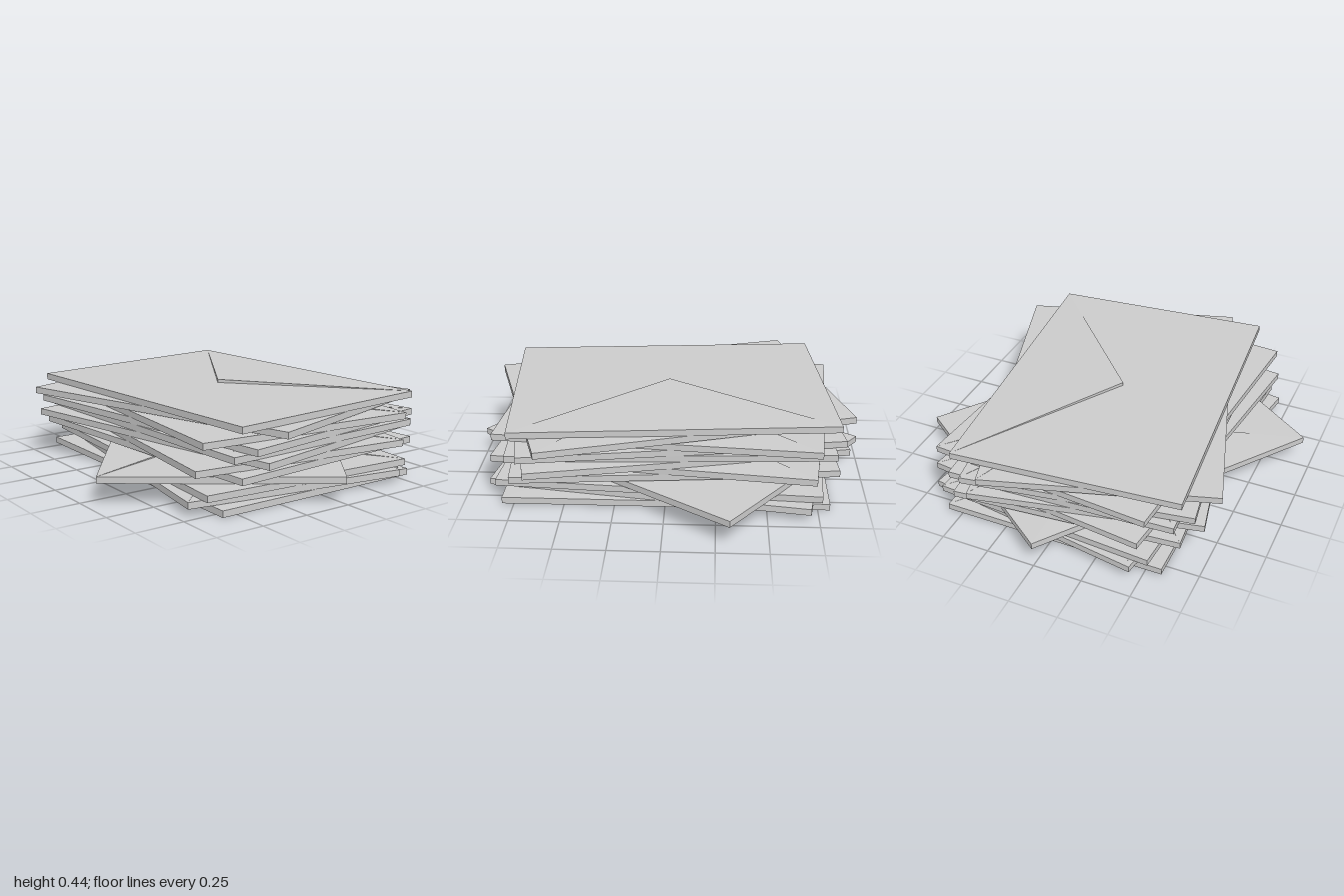
import * as THREE from 'three';

const W = 1.16, D = 1.62, H = 0.033;   // envelope width, length, thickness
const TIP_X = -0.03, LIFT = 0.017;     // flap tip position and how far it stands proud

// Triangular flap: flush with the body along the hinge edge, lifting towards its tip
function flapGeometry() {
  const shape = new THREE.Shape([
    new THREE.Vector2(W / 2, -D / 2),
    new THREE.Vector2(W / 2, D / 2),
    new THREE.Vector2(TIP_X, 0),
  ]);
  const geo = new THREE.ExtrudeGeometry(shape, { depth: 1, bevelEnabled: false });
  geo.rotateX(-Math.PI / 2);
  const pos = geo.attributes.position;
  for (let i = 0; i < pos.count; i++) {
    const t = (W / 2 - pos.getX(i)) / (W / 2 - TIP_X);
    pos.setY(i, (pos.getY(i) > 0.5 ? LIFT : -0.004) * t);
  }
  geo.computeVertexNormals();
  return geo;
}

export function createModel() {
  const model = new THREE.Group();
  model.name = 'envelopeStack';
  const paper = new THREE.MeshStandardMaterial({ color: 0xcccccc, flatShading: true });
  const bodyGeo = new THREE.BoxGeometry(W, H, D).translate(0, H / 2, 0);
  const flapGeo = flapGeometry().translate(0, H, 0);

  // Each envelope from the bottom up: [height of underside, turn in degrees]
  const envelopes = [
    [0, 0], [0.035, 171], [0.069, -4], [0.102, 144],
    [0.147, 185], [0.18, -7], [0.213, 12], [0.246, 183],
    [0.279, 9], [0.311, -5], [0.351, 17], [0.385, 5],
  ];
  envelopes.forEach(([y, turn], i) => {
    const envelope = new THREE.Group();
    envelope.name = `envelope${i + 1}`;
    const body = new THREE.Mesh(bodyGeo, paper);
    body.name = 'body';
    const flap = new THREE.Mesh(flapGeo, paper);
    flap.name = 'flap';
    envelope.add(body, flap);
    envelope.position.y = y;
    envelope.rotation.y = THREE.MathUtils.degToRad(turn);
    model.add(envelope);
  });
  return model;
}
